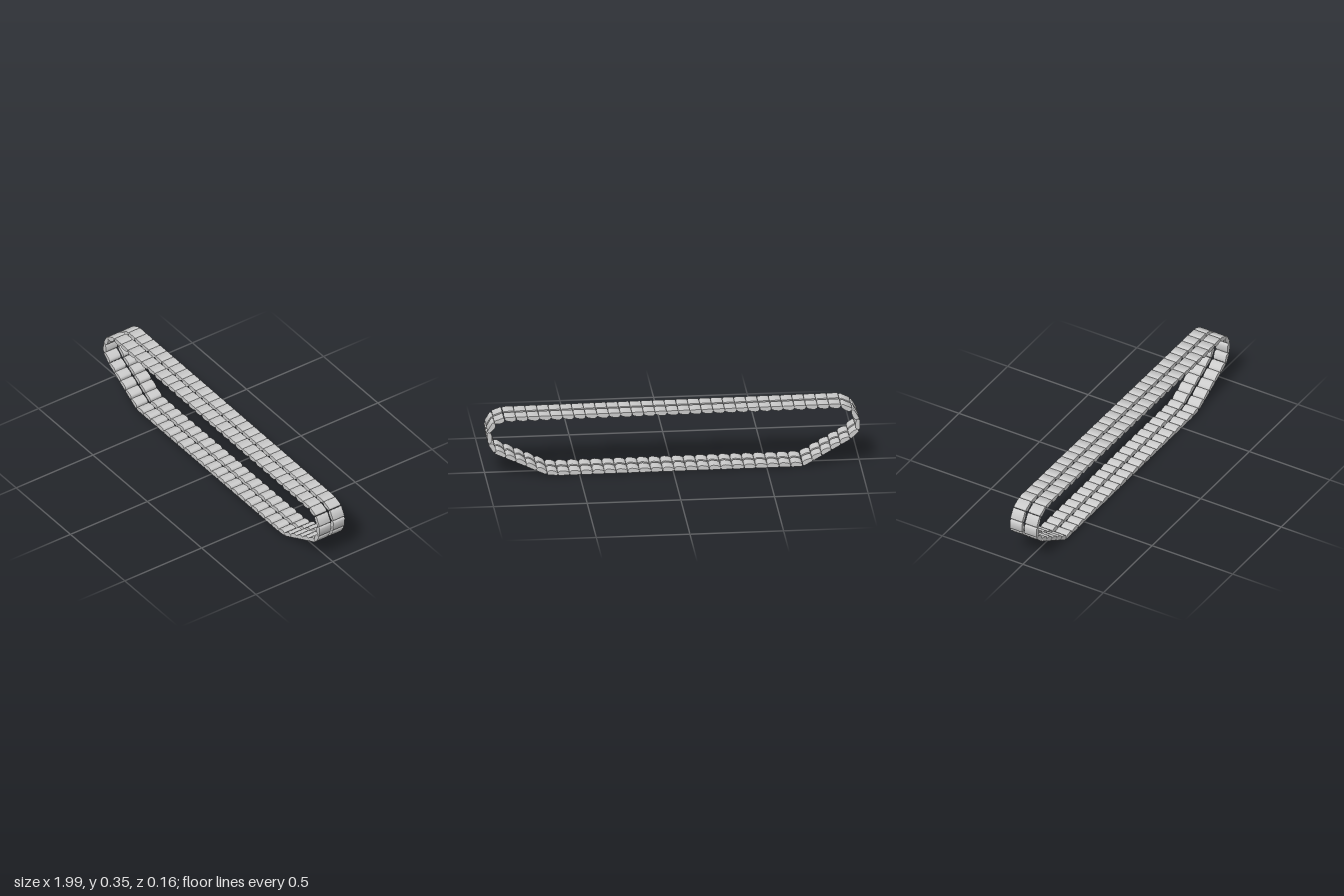
import * as THREE from 'three';
import { toCreasedNormals } from 'three/addons/utils/BufferGeometryUtils.js';

// Joint line of the track, counter-clockwise: x, y, links up to the next joint
const JOINTS = [
  [-0.69, 0.021, 21], [0.615, 0.019, 1], [0.672, 0.025, 5], [0.948, 0.154, 1],
  [0.976, 0.2, 1], [0.983, 0.262, 1], [0.953, 0.314, 1], [0.9, 0.334, 29],
  [-0.895, 0.345, 1], [-0.952, 0.318, 1], [-0.983, 0.265, 1], [-0.985, 0.208, 1],
  [-0.94, 0.165, 5],
];
const PITCH = 0.062;
const ROW_WIDTH = 0.074;
const ROW_GAP = 0.016;

// Side profile of a pad: flat tread outside (-y), sloping bulge inside (+y)
function padGeometry() {
  const profile = [
    [-0.031, -0.004], [-0.028, -0.011], [-0.025, -0.013], [0.025, -0.013], [0.029, -0.011],
    [0.031, -0.005], [0.03, 0.002], [0.026, 0.008], [0.019, 0.012], [0.008, 0.013],
    [-0.012, 0.010], [-0.023, 0.006], [-0.029, 0.002],
  ];
  const shape = new THREE.Shape(profile.map(([x, y]) => new THREE.Vector2(x, y)));
  const geometry = new THREE.ExtrudeGeometry(shape, { depth: ROW_WIDTH, bevelEnabled: false });
  geometry.translate(0, 0, -ROW_WIDTH / 2);
  return toCreasedNormals(geometry, 0.8);
}

export function createModel() {
  const track = new THREE.Group();
  track.name = 'track';
  const material = new THREE.MeshStandardMaterial({ color: 0xcccccc });
  const pad = padGeometry();

  JOINTS.forEach(([x0, y0, count], i) => {
    const [x1, y1] = JOINTS[(i + 1) % JOINTS.length];
    const length = Math.hypot(x1 - x0, y1 - y0) / count;
    for (let k = 0; k < count; k++) {
      const t = (k + 0.5) / count;
      // One link: two pads side by side
      const link = new THREE.Group();
      link.name = 'trackLink';
      link.position.set(x0 + (x1 - x0) * t, y0 + (y1 - y0) * t, 0);
      link.rotation.z = Math.atan2(y1 - y0, x1 - x0);
      link.scale.x = length / PITCH;
      for (const side of [1, -1]) {
        const mesh = new THREE.Mesh(pad, material);
        mesh.name = side > 0 ? 'frontPad' : 'backPad';
        mesh.position.z = side * (ROW_GAP + ROW_WIDTH) / 2;
        link.add(mesh);
      }
      track.add(link);
    }
  });
  return track;
}
